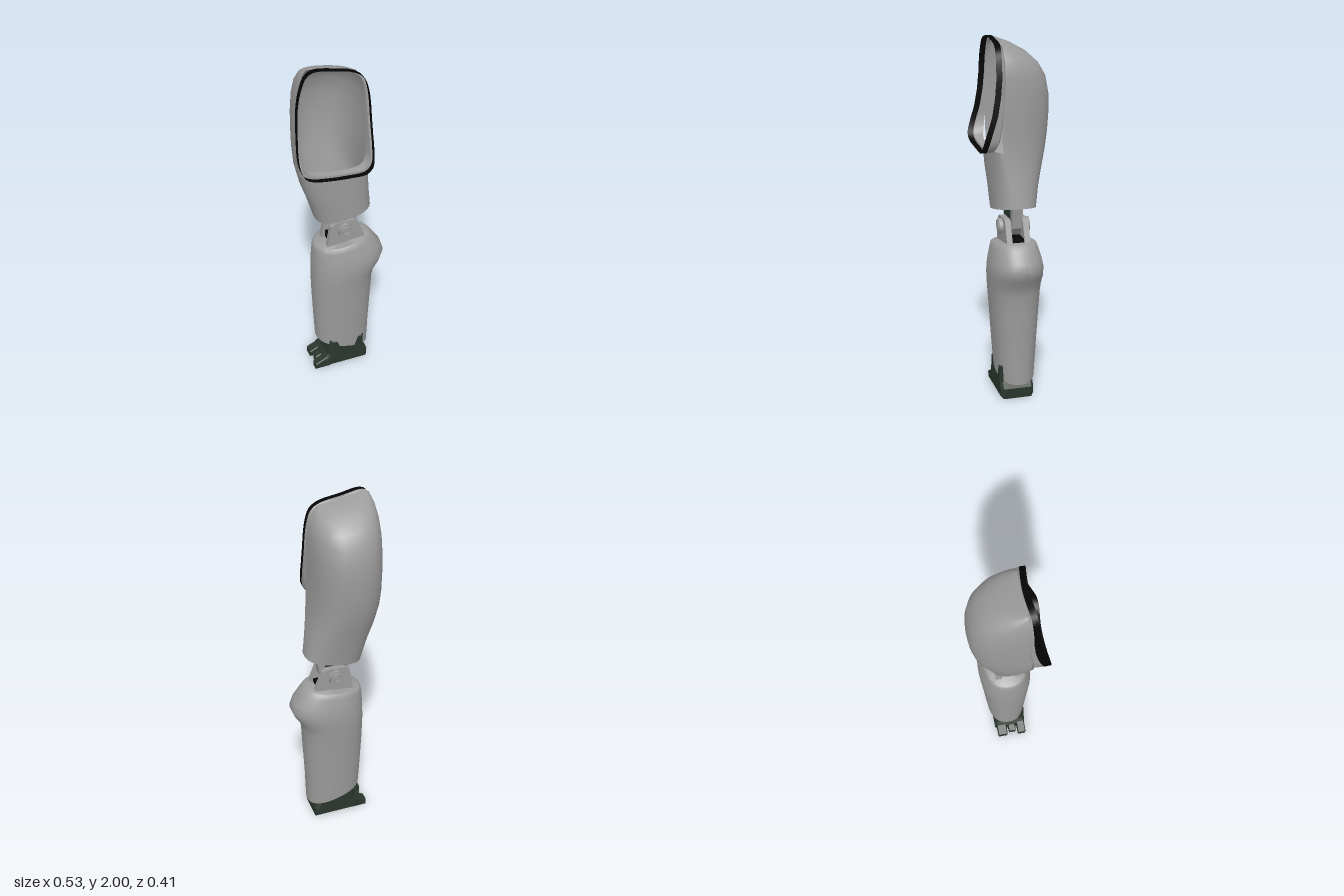
import * as THREE from 'three';
import { toCreasedNormals } from 'three/addons/utils/BufferGeometryUtils.js';

const mat = (name, color) => {
  const m = new THREE.MeshStandardMaterial({ color, side: THREE.DoubleSide });
  m.name = name;
  return m;
};

// Skins rings of points; keep(i, j) drops quads, caps close the first or last ring.
function loft(rings, { keep = () => true, capStart = false, capEnd = false } = {}) {
  const n = rings[0].length, pos = [], idx = [];
  rings.forEach(r => r.forEach(p => pos.push(p.x, p.y, p.z)));
  for (let i = 0; i < rings.length - 1; i++) {
    for (let j = 0; j < n; j++) {
      if (!keep(i, j)) continue;
      const a = i * n + j, b = i * n + (j + 1) % n;
      idx.push(a, b, b + n, a, b + n, a + n);
    }
  }
  const cap = (row, flip) => {
    const c = new THREE.Vector3();
    rings[row].forEach(p => c.addScaledVector(p, 1 / n));
    const k = pos.length / 3;
    pos.push(c.x, c.y, c.z);
    for (let j = 0; j < n; j++) {
      const a = row * n + j, b = row * n + (j + 1) % n;
      flip ? idx.push(k, b, a) : idx.push(k, a, b);
    }
  };
  if (capStart) cap(0, true);
  if (capEnd) cap(rings.length - 1, false);
  const g = new THREE.BufferGeometry();
  g.setAttribute('position', new THREE.Float32BufferAttribute(pos, 3));
  g.setIndex(idx);
  return toCreasedNormals(g, 0.7);
}

// Rounded horizontal section with separate back and front depths and a sloping height.
function section(y, xl, xr, zc, back, front, slope, x0, power, n = 48) {
  const sp = v => Math.sign(v) * Math.abs(v) ** power;
  return Array.from({ length: n }, (_, j) => {
    const t = j / n * Math.PI * 2, s = sp(Math.sin(t));
    const x = (xl + xr) / 2 + (xr - xl) / 2 * sp(Math.cos(t));
    const z = zc + (s > 0 ? (back - zc) * s : (zc - front) * s);
    return new THREE.Vector3(x, y + slope * (x - x0), z);
  });
}

// Linear lookup in [key, value] pairs sorted by key.
function lookup(table, k) {
  for (let i = 1; i < table.length; i++) {
    const [a, va] = table[i - 1], [b, vb] = table[i];
    if (k <= b) return va + (vb - va) * Math.max(0, (k - a) / (b - a));
  }
  return table[table.length - 1][1];
}

export function createModel() {
  const root = new THREE.Group();
  root.name = 'mechanicalArm';
  const grey = mat('shell grey', 0x9c9c9c);
  const dark = mat('dark green', 0x2b362d);
  const black = mat('black', 0x050505);
  const add = (name, geo, m, parent = root) => {
    const mesh = new THREE.Mesh(geo, m);
    mesh.name = name;
    parent.add(mesh);
    return mesh;
  };

  // Upper arm shell: y, left x, right x, middle z, back z, front z, slope
  const upper = [
    [1.08, -0.135, 0.18, 0, -0.115, 0.12, 0.16],
    [1.2, -0.175, 0.165, 0.02, -0.135, 0.125, 0.06],
    [1.3, -0.215, 0.15, 0.055, -0.162, 0.13, 0],
    [1.41, -0.243, 0.137, 0.085, -0.19, 0.13, 0],
    [1.5, -0.25, 0.135, 0.09, -0.203, 0.12, 0],
    [1.6, -0.25, 0.135, 0.085, -0.21, 0.1, 0],
    [1.7, -0.248, 0.135, 0.075, -0.208, 0.09, 0],
    [1.8, -0.242, 0.132, 0.07, -0.19, 0.08, -0.05],
    [1.87, -0.234, 0.126, 0.07, -0.15, 0.08, -0.1],
    [1.92, -0.222, 0.11, 0.07, -0.095, 0.08, -0.14],
    [1.953, -0.208, 0.09, 0.07, -0.03, 0.08, -0.17],
    [1.97, -0.195, 0.075, 0.07, 0.03, 0.08, -0.18],
    [1.976, -0.19, 0.07, 0.07, 0.065, 0.08, -0.18],
  ];
  const upperRings = upper.map(([y, l, r, c, b, f, s]) =>
    section(y, l, r, c, b, f, s, y > 1.5 ? -0.06 : 0, 0.8));
  // The front half is left open above the fourth row
  add('upperArmShell', loft(upperRings, { keep: (i, j) => i < 3 || j < 24, capStart: true }), grey);

  // Shoulder opening: grey flange with a thin black edge band
  const outline = new THREE.CatmullRomCurve3([
    [-0.17, 2.0], [-0.05, 1.983], [0.05, 1.96], [0.1, 1.925], [0.128, 1.84], [0.139, 1.68],
    [0.139, 1.52], [0.127, 1.44], [0.09, 1.405], [0, 1.396], [-0.1, 1.402], [-0.2, 1.422],
    [-0.245, 1.45], [-0.267, 1.51], [-0.265, 1.65], [-0.253, 1.84], [-0.235, 1.92], [-0.208, 1.98],
  ].map(([x, y]) => new THREE.Vector3(x, y, 0)), true, 'centripetal').getSpacedPoints(72).slice(0, 72);
  const edgeZ = [[1.4, 0.21], [1.5, 0.178], [1.6, 0.147], [1.7, 0.13], [1.8, 0.122], [2, 0.127]];
  const baseZ = [[1.4, 0.12], [1.46, 0.1], [1.6, 0.08], [1.7, 0.07], [2, 0.068]];
  const bow = x => 0.025 * Math.max(0, 1 - ((x + 0.06) / 0.2) ** 2);
  const front = p => lookup(edgeZ, p.y) - bow(p.x);
  const base = p => lookup(baseZ, p.y);
  const rimRing = (inset, zOf) => outline.map(p => new THREE.Vector3(
    -0.062 + (p.x + 0.062) * (1 - inset / 0.2), 1.7 + (p.y - 1.7) * (1 - inset / 0.3), zOf(p)));
  const lip = p => front(p) - 0.032;
  add('shoulderFlange', loft([
    rimRing(0.012, base), rimRing(0.003, p => base(p) + 0.008), rimRing(0, lip),
    rimRing(0.012, lip), rimRing(0.016, base),
  ]), grey);
  add('shoulderEdgeBand', loft([rimRing(0, lip), rimRing(0.001, front)]), black);

  // Forearm shell: y, left x, right x, half depth, slope
  const fore = [
    [0.14, -0.135, 0.18, 0.108, -0.28], [0.3, -0.142, 0.185, 0.12, -0.1],
    [0.5, -0.15, 0.195, 0.133, 0], [0.62, -0.153, 0.2, 0.142, 0],
    [0.67, -0.153, 0.212, 0.147, 0], [0.72, -0.152, 0.245, 0.15, 0],
    [0.77, -0.15, 0.265, 0.148, 0], [0.81, -0.148, 0.25, 0.14, 0.03],
    [0.86, -0.144, 0.205, 0.127, 0.1], [0.883, -0.14, 0.183, 0.12, 0.12],
    [0.89, -0.132, 0.172, 0.112, 0.12],
  ];
  add('forearmShell', loft(fore.map(([y, l, r, d, s]) =>
    section(y, l, r, 0, -d, d, s, 0, 0.87)), { capEnd: true }), grey);

  // Flat plate cut from an outline, centred on z
  const plate = (points, depth, z = 0, bevel = 0) => {
    const g = new THREE.ExtrudeGeometry(new THREE.Shape(points.map(p => new THREE.Vector2(...p))), {
      depth: depth - 2 * bevel, bevelEnabled: bevel > 0, bevelSize: bevel,
      bevelThickness: bevel, bevelOffset: -bevel, bevelSegments: 1,
    });
    return g.translate(0, 0, z - depth / 2 + bevel);
  };

  // Elbow joint
  const elbow = new THREE.Group();
  elbow.name = 'elbowJoint';
  root.add(elbow);
  add('upperTongue', plate([[-0.115, 1.1], [-0.05, 0.97], [-0.01, 0.935], [0.06, 0.935],
    [0.1, 0.98], [0.125, 1.13]], 0.056), grey, elbow);
  add('elbowCore', new THREE.BoxGeometry(0.12, 0.08, 0.068).translate(0.01, 1.06, 0), dark, elbow);
  add('forkFloor', new THREE.BoxGeometry(0.18, 0.05, 0.09).translate(0.03, 0.9, 0), black, elbow);
  for (const s of [1, -1]) {
    add('forkPlate', plate([[-0.085, 0.86], [0.15, 0.88], [0.095, 1.015], [0.075, 1.03],
      [-0.03, 1.03], [-0.06, 1.01]], 0.032, s * 0.05), grey, elbow);
    add('pivotNut', new THREE.CylinderGeometry(0.043, 0.045, 0.022, 6)
      .rotateX(Math.PI / 2 * s).translate(0.02, 0.98, s * 0.076), grey, elbow);
    add('pivotRing', new THREE.TorusGeometry(0.023, 0.005, 6, 16)
      .translate(0.02, 0.98, s * 0.087), grey, elbow);
  }

  // Closed hand with stepped finger ends
  const hand = new THREE.Group();
  hand.name = 'hand';
  root.add(hand);
  add('palm', plate([[-0.1, 0], [0.152, 0], [0.155, 0.06], [0.13, 0.1], [0.13, 0.2], [-0.08, 0.2],
    [-0.095, 0.09], [-0.12, 0.06], [-0.12, 0]], 0.19, 0.01, 0.015), dark, hand);
  for (const [z, w, x] of [[0.075, 0.05, -0.175], [0.018, 0.045, -0.155], [-0.045, 0.06, -0.17]]) {
    add('finger', plate([[x, 0], [-0.08, 0], [-0.08, 0.085], [x + 0.045, 0.06], [x, 0.038]],
      w, z, 0.005), dark, hand);
  }
  return root;
}
